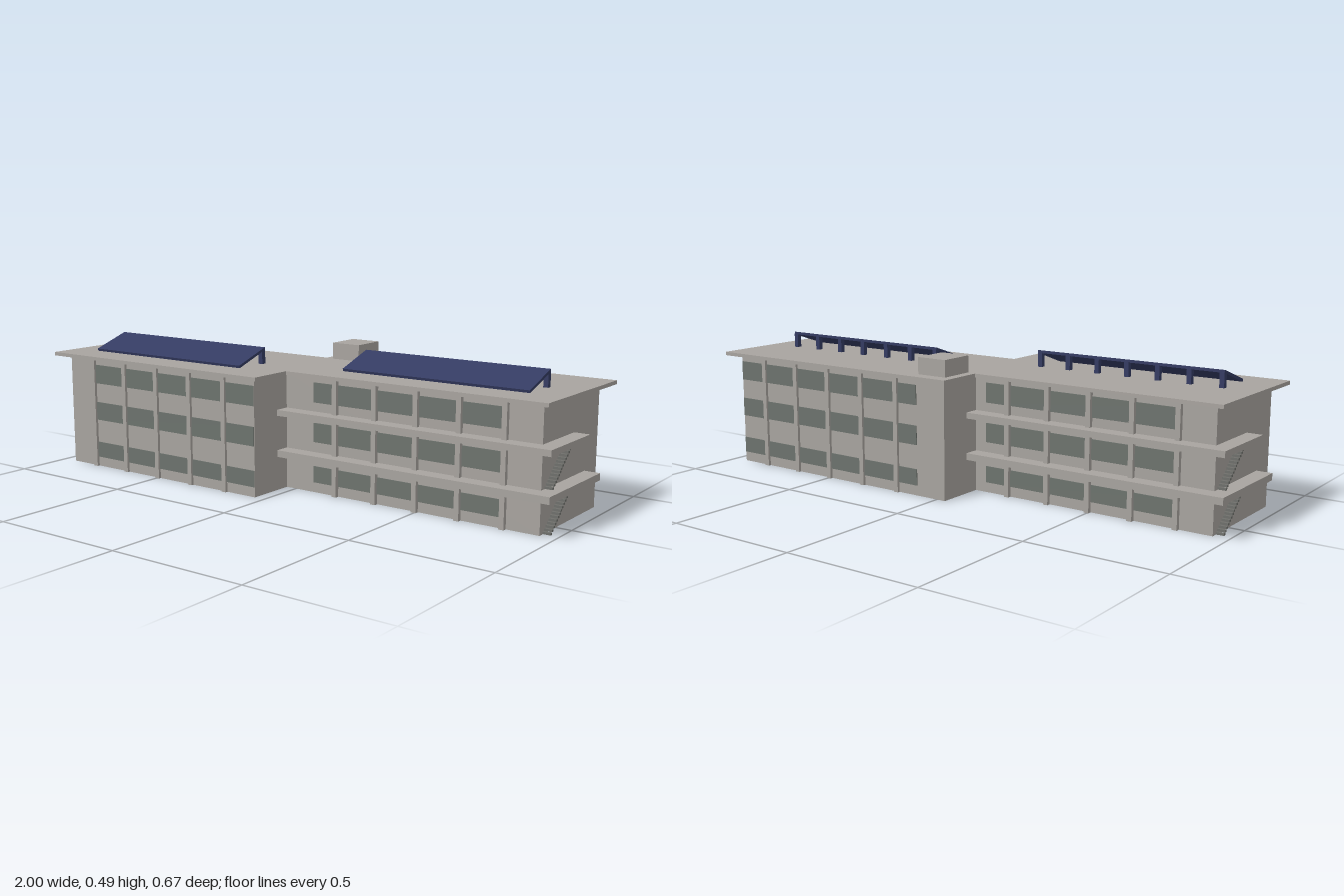
import * as THREE from 'three';

const wallMat = new THREE.MeshStandardMaterial({ name: 'concrete', color: 0xa8a49f });
const glassMat = new THREE.MeshStandardMaterial({ name: 'windowGrey', color: 0x6d736e });
const panelMat = new THREE.MeshStandardMaterial({ name: 'solarBlue', color: 0x343b62 });
const stairMat = new THREE.MeshStandardMaterial({ name: 'stairGrey', color: 0x6f706c });

// Box given by its two opposite corners
function box(name, mat, x0, x1, y0, y1, z0, z1) {
  const mesh = new THREE.Mesh(new THREE.BoxGeometry(x1 - x0, y1 - y0, z1 - z0), mat);
  mesh.position.set((x0 + x1) / 2, (y0 + y1) / 2, (z0 + z1) / 2);
  mesh.name = name;
  return mesh;
}

// Vertical slab from a plan outline of [x, z] corners
function slab(name, mat, outline, y0, y1) {
  const shape = new THREE.Shape(outline.map(([x, z]) => new THREE.Vector2(x, -z)));
  const geo = new THREE.ExtrudeGeometry(shape, { depth: y1 - y0, bevelEnabled: false });
  geo.rotateX(-Math.PI / 2);
  const mesh = new THREE.Mesh(geo, mat);
  mesh.position.y = y0;
  mesh.name = name;
  return mesh;
}

const columnXs = [0.175, 0.336, 0.497, 0.658, 0.82];
const windowRows = [[0.036, 0.094], [0.18, 0.248], [0.32, 0.39]];
const WALL_TOP = 0.415, ROOF_TOP = 0.428;

// Window bands and columns on one facade; dir is the way it faces along z
function facade(name, z, dir, side, x0, x1, depth) {
  const g = new THREE.Group();
  g.name = name;
  const span = (d) => (dir > 0 ? [z - 0.005, z + d] : [z - d, z + 0.005]);
  for (const [y0, y1] of windowRows) g.add(box('windowBand', glassMat, x0, x1, y0, y1, ...span(0.003)));
  for (const x of columnXs) {
    g.add(box('column', wallMat, side * x - 0.009, side * x + 0.009, 0, WALL_TOP, ...span(depth)));
  }
  return g;
}

// Open walkways along the recessed facade with an outside stair at the end
function accessSide(name) {
  const g = new THREE.Group();
  g.name = name;
  for (const [y0, y1, zEnd] of [[0.12, 0.144, -0.2], [0.267, 0.288, -0.108]]) {
    g.add(slab('walkway', wallMat,
      [[-0.04, 0.168], [1, 0.168], [1, zEnd], [0.94, zEnd], [0.94, 0.11], [-0.04, 0.11]], y0, y1));
  }
  for (const base of [0, 0.144]) {
    for (let i = 0; i < 15; i++) {
      const y = base + 0.003 + i * 0.0086, z = 0.098 - i * 0.0094;
      g.add(box('stairStep', stairMat, 0.948, 0.975, y, y + 0.0075, z - 0.0105, z));
    }
  }
  g.add(facade('accessFacade', 0.113, 1, 1, 0.08, 0.815, 0.015));
  return g;
}

// Tilted solar panel on a row of posts; zBack is its raised edge
function solarArray(name, x0, x1, zBack) {
  const g = new THREE.Group();
  g.name = name;
  const s = new THREE.Shape([[0, 0.487], [0.142, 0.438], [0.139, 0.429], [0, 0.477]]
    .map(([z, y]) => new THREE.Vector2(-z, y)));
  const geo = new THREE.ExtrudeGeometry(s, { depth: x1 - x0, bevelEnabled: false });
  geo.rotateY(Math.PI / 2);
  const panel = new THREE.Mesh(geo, panelMat);
  panel.name = 'solarPanel';
  panel.position.set(x0, 0, zBack);
  g.add(panel);
  for (let i = 0; i < 7; i++) {
    const x = x0 + (i * (x1 - x0 - 0.017)) / 6;
    g.add(box('panelPost', panelMat, x, x + 0.017, ROOF_TOP, 0.479, zBack - 0.002, zBack + 0.015));
  }
  return g;
}

export function createModel() {
  const model = new THREE.Group();
  model.name = 'apartmentBlock';

  // Two offset wings as one body, with an overhanging flat roof
  model.add(slab('walls', wallMat, [
    [-0.945, 0.292], [-0.04, 0.292], [-0.04, 0.113], [0.945, 0.113],
    [0.945, -0.292], [-0.035, -0.292], [-0.035, -0.113], [-0.945, -0.113]], 0, WALL_TOP));
  model.add(slab('roof', wallMat, [
    [-0.99, 0.335], [0, 0.335], [0, 0.168], [0.985, 0.168],
    [0.985, -0.338], [-0.073, -0.338], [-0.073, -0.17], [-0.99, -0.17]], WALL_TOP, ROOF_TOP));
  model.add(box('roofHut', wallMat, -0.04, 0.075, ROOF_TOP, 0.487, -0.292, -0.163));

  // Plain facades without walkways
  model.add(facade('frontFacade', 0.292, 1, -1, -0.815, -0.042, 0.01));
  model.add(facade('backFacade', -0.292, -1, 1, 0.085, 0.943, 0.01));

  // Walkway sides, turned half round for the back
  const back = accessSide('backAccess');
  back.rotation.y = Math.PI;
  model.add(accessSide('frontAccess'), back);

  model.add(solarArray('leftSolarArray', 0.16, 0.867, -0.086));
  model.add(solarArray('rightSolarArray', -0.875, -0.165, 0.079));
  return model;
}
